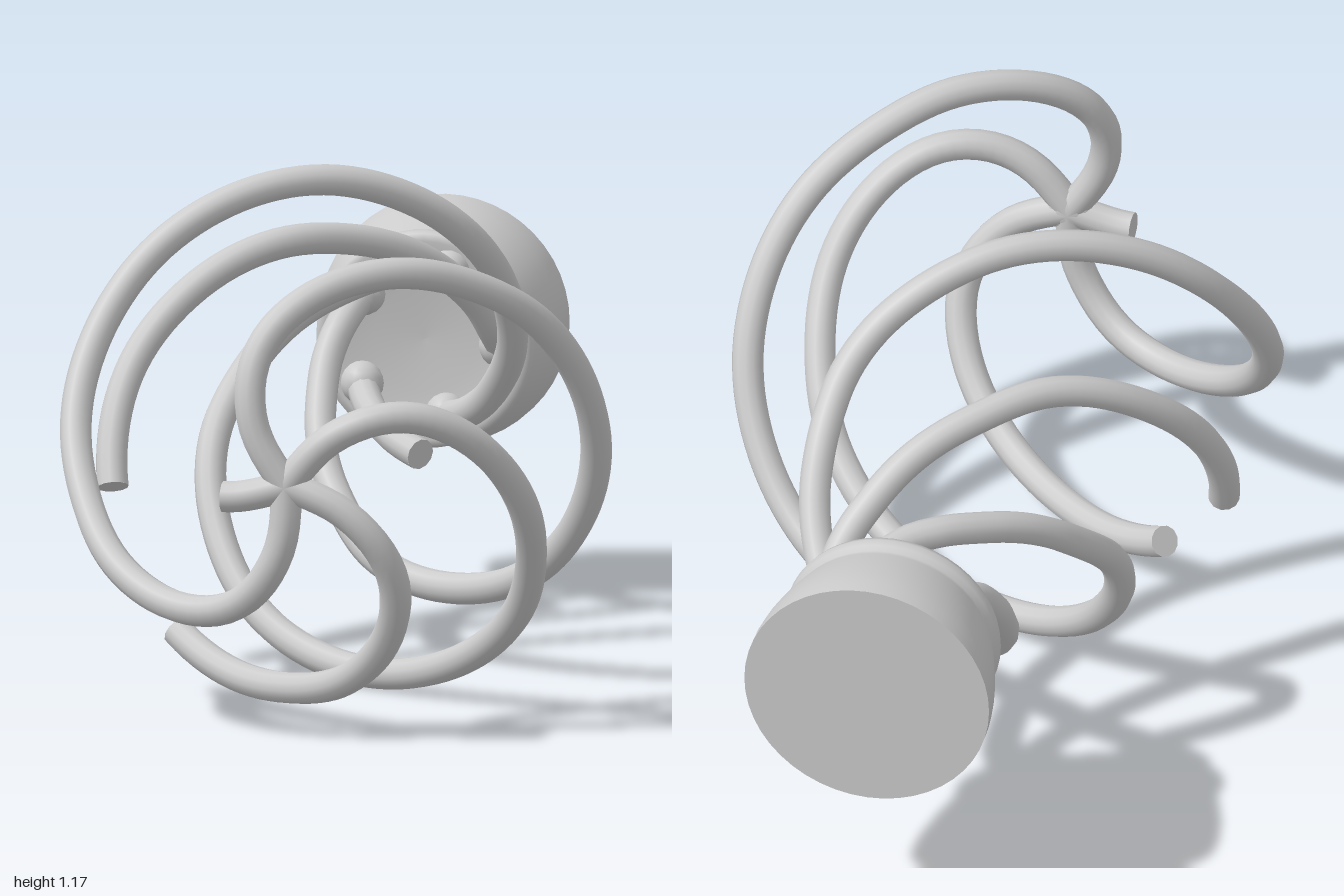
import * as THREE from 'three';

const CENTER_Y = 0.609;
const TUBE = 0.036;
const material = new THREE.MeshStandardMaterial({ color: 0xcccccc });

// One strand of the cage: clockwise angle in degrees, radius, z
const STRAND = [
  [-36, 0.0, 0.962], [-33, 0.1, 0.964], [-24, 0.21, 0.955], [-13, 0.31, 0.92],
  [2, 0.4, 0.855], [24, 0.495, 0.73], [42, 0.543, 0.6], [60, 0.578, 0.47],
  [87, 0.586, 0.3], [108, 0.572, 0.19], [133, 0.535, 0.06], [155, 0.475, -0.06],
  [180, 0.4, -0.19], [202, 0.32, -0.33], [240, 0.225, -0.5], [265, 0.195, -0.58],
  [288, 0.18, -0.645], [312, 0.175, -0.76],
];
const profile = new THREE.CatmullRomCurve3(
  STRAND.map(([a, r, z]) => new THREE.Vector3(THREE.MathUtils.degToRad(a), r, z)));
const samples = profile.getPoints(800);

function toSpace(p, turn) {
  const a = p.x + turn;
  return new THREE.Vector3(p.y * Math.sin(a), CENTER_Y + p.y * Math.cos(a), p.z);
}

function addMesh(group, geometry, name) {
  const mesh = new THREE.Mesh(geometry, material);
  mesh.name = name;
  group.add(mesh);
  return mesh;
}

// Flat disc closing a cut rod
function addEnd(group, curve, t) {
  const disc = addMesh(group, new THREE.CircleGeometry(TUBE, 12), 'cutEnd');
  disc.position.copy(curve.getPointAt(t));
  const dir = curve.getTangentAt(t).multiplyScalar(t > 0 ? 1 : -1);
  disc.quaternion.setFromUnitVectors(new THREE.Vector3(0, 0, 1), dir);
}

// Part of a strand between two angles
function addRod(group, turn, from, to) {
  const a = THREE.MathUtils.degToRad(from), b = THREE.MathUtils.degToRad(to);
  const part = samples.filter((p) => p.x >= a && p.x <= b);
  const step = Math.max(1, Math.floor(part.length / 60));
  const points = part.filter((p, i) => i % step === 0 || i === part.length - 1)
    .map((p) => toSpace(p, turn));
  const curve = new THREE.CatmullRomCurve3(points);
  const segments = Math.max(8, Math.round(curve.getLength() / 0.03));
  addMesh(group, new THREE.TubeGeometry(curve, segments, TUBE, 12), 'rod');
  addEnd(group, curve, 0);
  addEnd(group, curve, 1);
}

export function createModel() {
  const model = new THREE.Group();
  model.name = 'twistedCageHandle';

  // Five twisted strands; two of them are broken
  const whole = [[-36, 312]];
  const pieces = [whole, whole, [[-36, 74], [108, 312]], whole, [[-36, -29.5], [243, 312]]];
  pieces.forEach((ranges, i) => {
    const strand = new THREE.Group();
    strand.name = 'strand' + (i + 1);
    const turn = THREE.MathUtils.degToRad(72 * i);
    ranges.forEach(([from, to]) => addRod(strand, turn, from, to));

    // Swollen foot where the strand meets the collar
    const foot = addMesh(strand, new THREE.SphereGeometry(0.05, 14, 10), 'strandFoot');
    foot.position.copy(toSpace(new THREE.Vector3(THREE.MathUtils.degToRad(307), 0.175, -0.735), turn));
    model.add(strand);
  });

  // Hub where the strands meet at the front
  const hub = addMesh(model, new THREE.SphereGeometry(0.06, 16, 12), 'hub');
  hub.scale.z = 0.6;
  hub.position.set(0, CENTER_Y, 0.962);

  // Flared collar with a rolled rim and shallow dished face
  const outline = [
    [0.285, -1], [0.284, -0.96], [0.277, -0.91], [0.265, -0.86], [0.254, -0.82],
    [0.244, -0.79], [0.24, -0.775], [0.249, -0.765], [0.251, -0.745], [0.246, -0.73],
    [0.23, -0.722], [0.19, -0.73], [0.12, -0.745], [0, -0.75],
  ].map(([r, z]) => new THREE.Vector2(r, z));
  const collar = addMesh(model, new THREE.LatheGeometry(outline, 48).rotateX(Math.PI / 2), 'collar');
  collar.position.y = 0.612;

  const back = addMesh(model, new THREE.CircleGeometry(0.285, 48).rotateY(Math.PI), 'collarBack');
  back.position.set(0, 0.612, -1);

  return model;
}
